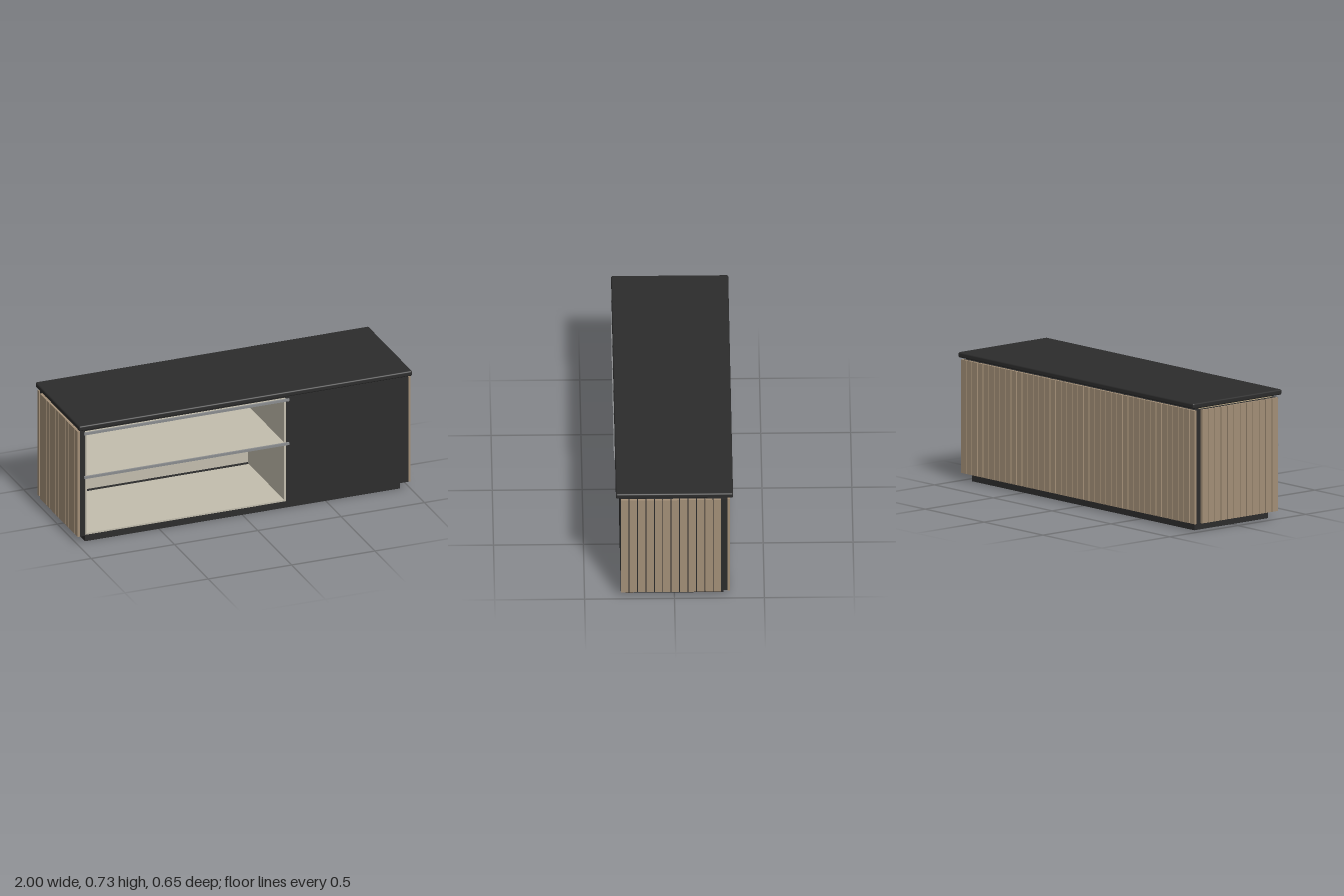
import * as THREE from 'three';
import { RoundedBoxGeometry } from 'three/addons/geometries/RoundedBoxGeometry.js';

const mat = (name, color) => {
  const m = new THREE.MeshStandardMaterial({ color });
  m.name = name;
  return m;
};

export function createModel() {
  const black = mat('matte black', 0x2c2c2c);
  const wood = mat('slat wood', 0xa38f77);
  const cream = mat('cream lining', 0xc2bdad);
  const tan = mat('tan underlay', 0xbfae8c);
  const metal = mat('grey metal', 0x8a8c8e);

  const root = new THREE.Group();
  root.name = 'counter';

  // box given by its minimum and maximum on each axis
  const box = (name, m, x0, x1, y0, y1, z0, z1, parent = root) => {
    const mesh = new THREE.Mesh(new THREE.BoxGeometry(x1 - x0, y1 - y0, z1 - z0), m);
    mesh.position.set((x0 + x1) / 2, (y0 + y1) / 2, (z0 + z1) / 2);
    mesh.name = name;
    parent.add(mesh);
    return mesh;
  };
  const group = (name) => {
    const g = new THREE.Group();
    g.name = name;
    root.add(g);
    return g;
  };

  const bottom = 0.045, top = 0.688;

  // worktop with softened edges, on a thin underlay
  const worktop = new THREE.Mesh(new RoundedBoxGeometry(2, 0.031, 0.652, 4, 0.009), black);
  worktop.position.y = 0.7155;
  worktop.name = 'worktop';
  root.add(worktop);
  box('underlay', tan, -0.965, 0.965, top, 0.697, -0.25, 0.28);

  // recessed plinth
  box('plinth', black, -0.945, 0.945, 0, bottom, -0.272, 0.272);

  // black carcass
  const carcass = group('carcass');
  box('leftWall', black, 0.955, 0.985, bottom, top, -0.278, 0.296, carcass);
  box('rightWall', black, -0.985, -0.955, bottom, top, -0.278, 0.296, carcass);
  box('backPanel', black, -0.985, 0.985, bottom, top, -0.295, -0.279, carcass);
  box('bottomBoard', black, -0.955, 0.955, bottom, 0.051, -0.279, 0.29, carcass);
  box('topBoard', black, -0.955, 0.955, 0.681, top, -0.279, 0.29, carcass);
  box('divider', black, 0.251, 0.27, 0.051, 0.681, -0.279, 0.29, carcass);
  box('frontPanel', black, 0.251, 0.985, bottom, top, 0.2965, 0.299, carcass);
  box('frontPanelCore', black, 0.27, 0.955, 0.051, 0.681, 0.28, 0.2965, carcass);

  // open compartment lined in cream
  const lining = group('compartment');
  const xl = -0.953, xr = 0.25, zf = 0.298, zb = -0.24;
  box('floor', cream, xl, xr, 0.0515, 0.061, -0.225, zf, lining);
  box('shelf', cream, xl + 0.01, xr - 0.01, 0.402, 0.412, zb, zf, lining);
  box('ceiling', cream, xl, xr, 0.67, 0.68, zb, zf, lining);
  box('sidePanelRight', cream, xl, xl + 0.01, 0.061, 0.67, zb, zf, lining);
  box('sidePanelLeft', cream, xr - 0.01, xr, 0.061, 0.67, zb, zf, lining);
  box('liningBack', cream, xl + 0.01, xr - 0.01, 0.066, 0.67, zb - 0.01, zb, lining);

  // metal rails standing off the front
  for (const y of [0.406, 0.673]) {
    box('frontRail', metal, -0.97, 0.26, y, y + 0.014, 0.317, 0.327);
  }

  // vertical slats on both ends
  const pitch = 0.0468, half = 0.0208;
  for (const side of [-1, 1]) {
    const slats = group(side > 0 ? 'leftSlats' : 'rightSlats');
    for (let i = 0; i < 12; i++) {
      const z = 0.276 - i * pitch;
      const x = side * 0.992;
      box('sideSlat', wood, x - 0.007, x + 0.007, bottom, top, z - half, z + half, slats);
    }
  }

  // vertical slats along the back
  const backSlats = group('backSlats');
  const count = 42, step = 1.99 / count;
  for (let i = 0; i < count; i++) {
    const x = (i - (count - 1) / 2) * step;
    box('backSlat', wood, x - half, x + half, bottom, top, -0.31, -0.295, backSlats);
  }

  return root;
}
